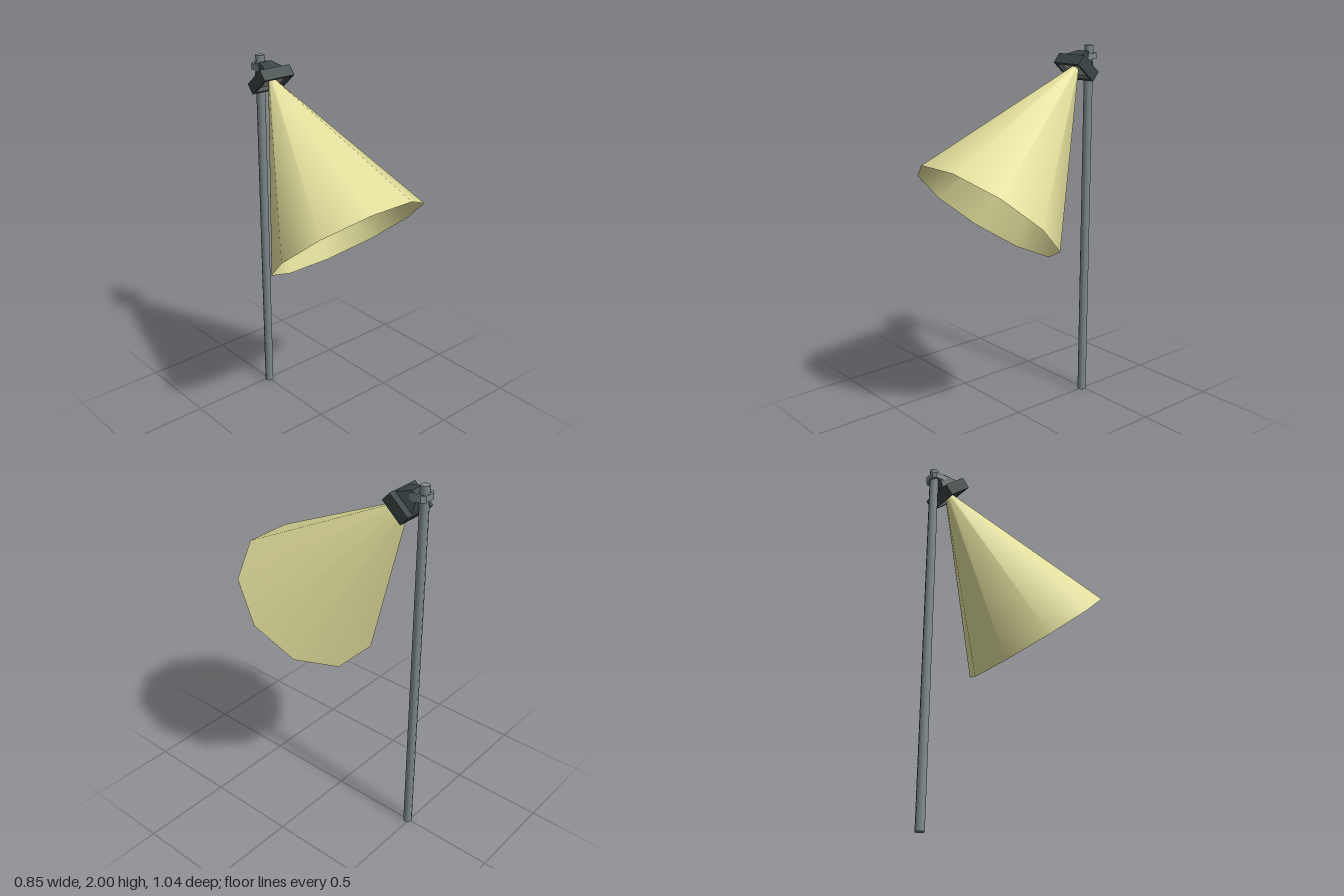
import * as THREE from 'three';

const grey = new THREE.MeshStandardMaterial({ color: 0x7c878b, name: 'poleGrey' });
const dark = new THREE.MeshStandardMaterial({ color: 0x3b4646, name: 'housingDark' });
const lensMat = new THREE.MeshStandardMaterial({ color: 0xa3a49c, name: 'lensGrey' });
const glow = new THREE.MeshStandardMaterial({ color: 0xe2df9c, name: 'lightYellow', side: THREE.DoubleSide });

const POLE_Z = -0.49;

function add(parent, name, geometry, material, x = 0, y = 0, z = 0) {
  const mesh = new THREE.Mesh(geometry, material);
  mesh.name = name;
  mesh.position.set(x, y, z);
  parent.add(mesh);
  return mesh;
}

const toPoints = (list) => list.map(([x, y]) => new THREE.Vector2(x, y));

// Box whose top is narrowed to a smaller rectangle
function frustum(w, d, topW, topD, h) {
  const geo = new THREE.BoxGeometry(w, h, d);
  const p = geo.attributes.position;
  for (let i = 0; i < p.count; i++) {
    if (p.getY(i) > 0) {
      p.setX(i, Math.sign(p.getX(i)) * topW / 2);
      p.setZ(i, Math.sign(p.getZ(i)) * topD / 2);
    }
  }
  const flat = geo.toNonIndexed();
  flat.computeVertexNormals();
  return flat;
}

export function createModel() {
  const model = new THREE.Group();
  model.name = 'poleLamp';

  // Pole
  add(model, 'pole', new THREE.CylinderGeometry(0.024, 0.024, 2, 8), grey, 0, 1, POLE_Z);

  // U-shaped clamp around the pole (shape y becomes -z)
  const clampShape = new THREE.Shape(toPoints([
    [0.048, 0.44], [0.048, 0.502], [0.029, 0.52], [-0.029, 0.52], [-0.048, 0.502], [-0.048, 0.44],
    [-0.035, 0.44], [-0.035, 0.495], [-0.023, 0.508], [0.023, 0.508], [0.035, 0.495], [0.035, 0.44],
  ]));
  const clampGeo = new THREE.ExtrudeGeometry(clampShape, { depth: 0.032, bevelEnabled: false });
  clampGeo.rotateX(-Math.PI / 2);
  add(model, 'clamp', clampGeo, grey, 0, 1.929, 0);

  // Lamp head, tilted so its local -y points down and forward
  const head = new THREE.Group();
  head.name = 'lampHead';
  head.position.set(0, 1.865, -0.378);
  head.rotation.x = -0.716;
  model.add(head);

  // Open rectangular shade
  const rect = (x, z) => toPoints([[-x, -z], [x, -z], [x, z], [-x, z]]);
  const shadeShape = new THREE.Shape(rect(0.096, 0.071));
  shadeShape.holes.push(new THREE.Path(rect(0.081, 0.056).reverse()));
  const shadeGeo = new THREE.ExtrudeGeometry(shadeShape, { depth: 0.05, bevelEnabled: false });
  shadeGeo.rotateX(-Math.PI / 2);
  add(head, 'shadeWalls', shadeGeo, dark);
  add(head, 'shadeTop', new THREE.BoxGeometry(0.192, 0.012, 0.142), dark, 0, 0.056, 0);
  add(head, 'shadeNeck', frustum(0.118, 0.128, 0.074, 0.038, 0.065), dark, 0, 0.0945, 0);
  add(head, 'lens', new THREE.BoxGeometry(0.162, 0.008, 0.112), lensMat, 0, 0.026, 0);

  // Open ten-sided cone of light
  const top = 0.022, bottom = -0.895;
  const coneGeo = new THREE.CylinderGeometry(0.02, 0.427, top - bottom, 10, 1, true, Math.PI / 2);
  add(head, 'lightCone', coneGeo, glow, 0, (top + bottom) / 2, 0);

  return model;
}
